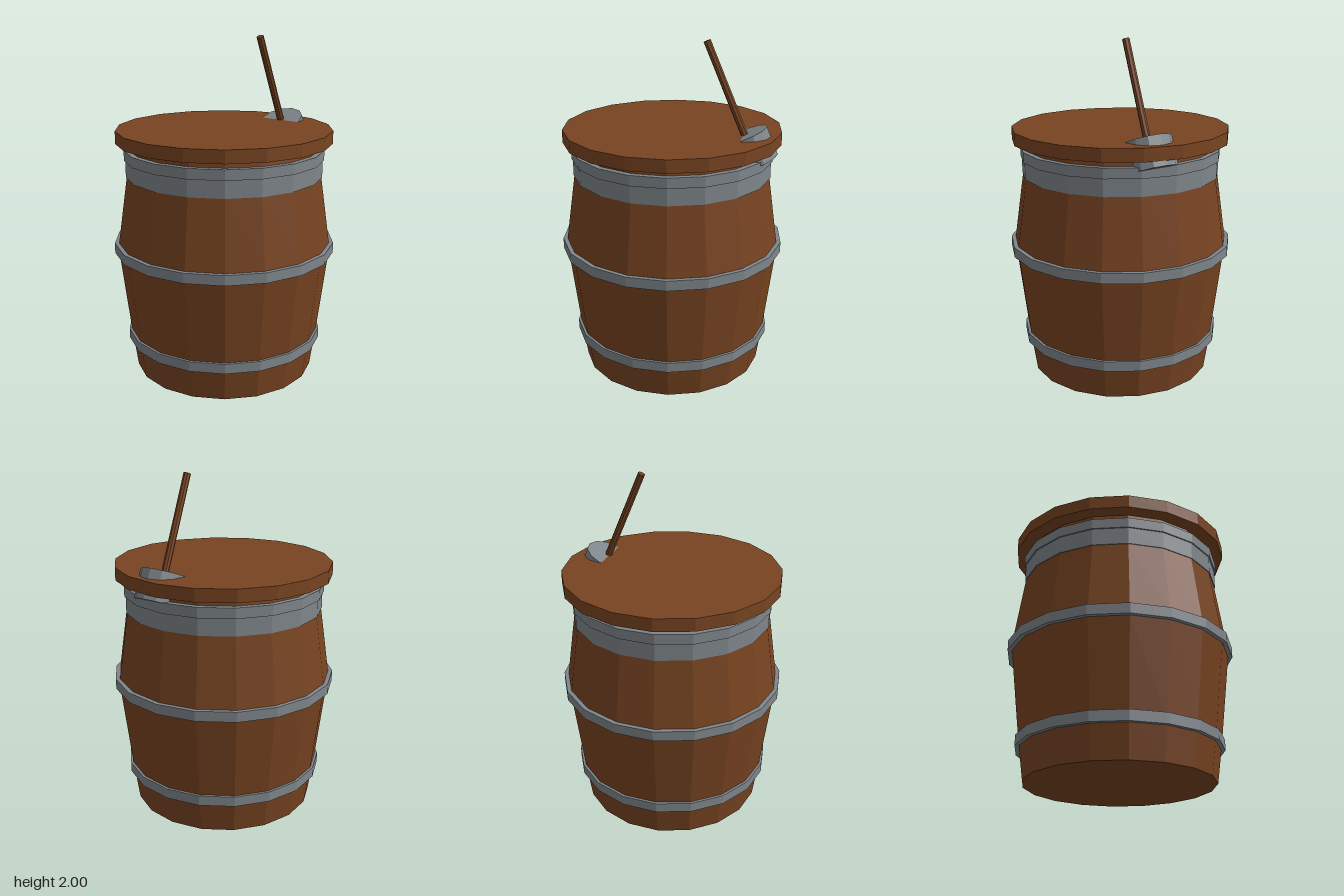
import * as THREE from 'three';

const SIDES = 18;

export function createModel() {
  const wood = new THREE.MeshStandardMaterial({ color: 0x784421, flatShading: true });
  wood.name = 'brown wood';
  const metal = new THREE.MeshStandardMaterial({ color: 0x7f868b, flatShading: true });
  metal.name = 'grey metal';

  const model = new THREE.Group();
  model.name = 'barrelWithScoop';

  function add(parent, name, geometry, material) {
    const mesh = new THREE.Mesh(geometry, material);
    mesh.name = name;
    parent.add(mesh);
    return mesh;
  }

  // Turned part from [radius, height] pairs, listed bottom to top, with a corner on the x axis
  function turned(name, profile, material) {
    const points = profile.map(([r, y]) => new THREE.Vector2(r, y));
    return add(model, name, new THREE.LatheGeometry(points, SIDES, Math.PI / 2), material);
  }

  // Bulging body and flat lid
  turned('barrelBody', [[0, 0], [0.54, 0], [0.572, 0.22], [0.635, 0.74], [0.635, 0.8],
    [0.577, 1.2], [0.55, 1.42], [0, 1.42]], wood);
  turned('lid', [[0, 1.4], [0.637, 1.4], [0.637, 1.475], [0, 1.475]], wood);

  // Metal hoops: bottom, top and outer radius
  const hoops = [
    ['lowerHoop', 0.185, 0.245, 0.59],
    ['middleHoop', 0.74, 0.8, 0.66],
    ['upperBand', 1.2, 1.3, 0.582],
    ['topHoop', 1.3, 1.36, 0.59],
  ];
  for (const [name, y0, y1, r] of hoops) {
    turned(name, [[0.53, y0], [r, y0], [r, y1], [0.53, y1]], metal);
  }

  // Tilted scoop set through the lid; its origin is the centre of the cup's top
  const scoop = new THREE.Group();
  scoop.name = 'scoop';
  scoop.position.set(0.436, 1.478, 0.095);
  scoop.rotation.z = 0.405;
  model.add(scoop);

  add(scoop, 'scoopCup', new THREE.CylinderGeometry(0.135, 0.135, 0.17, 12), metal)
    .position.y = -0.085;
  add(scoop, 'scoopHandle', new THREE.CylinderGeometry(0.021, 0.021, 0.6, 8), wood)
    .position.y = 0.26;

  return model;
}
